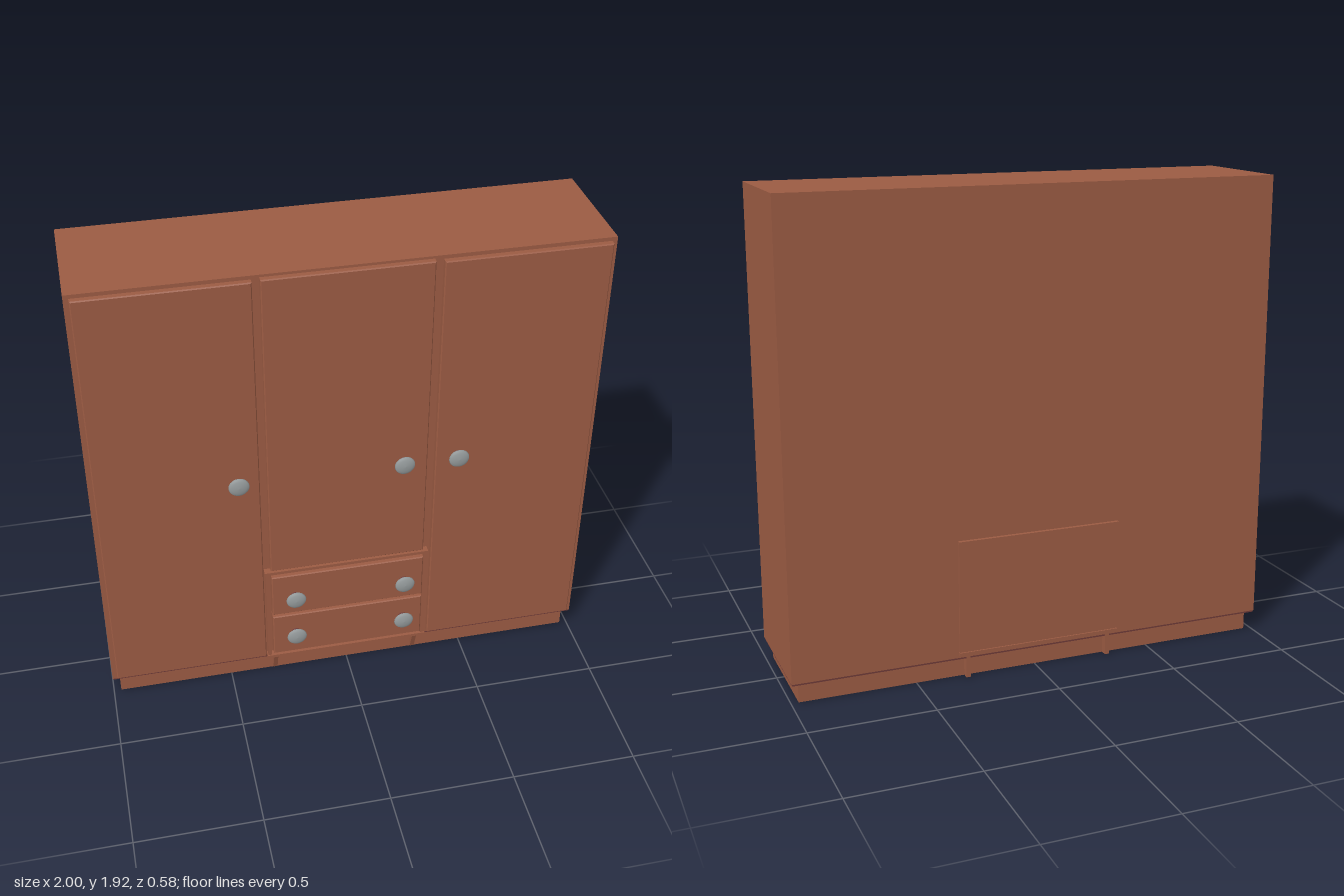
import * as THREE from 'three';

export function createModel() {
  const group = new THREE.Group();
  group.name = 'wardrobe';
  const material = (name, color) => {
    const m = new THREE.MeshStandardMaterial({ color });
    m.name = name;
    return m;
  };
  const wood = material('brown wood', 0x9b5b43);
  const darkWood = material('dark red wood', 0x6e3a38);
  const metal = material('grey metal', 0x979d9e);

  function add(name, geo, mat) {
    const mesh = new THREE.Mesh(geo, mat);
    mesh.name = name;
    group.add(mesh);
    return mesh;
  }

  // Box given by its lower and upper limits on each axis
  function box(name, x0, x1, y0, y1, z0, z1, mat = wood) {
    const mesh = add(name, new THREE.BoxGeometry(x1 - x0, y1 - y0, z1 - z0), mat);
    mesh.position.set((x0 + x1) / 2, (y0 + y1) / 2, (z0 + z1) / 2);
  }

  // Panel with a very narrow bevel round its edges
  function panel(name, x0, x1, y0, y1, z0, z1) {
    const b = 0.004;
    const shape = new THREE.Shape();
    shape.moveTo(x0 + b, y0 + b);
    shape.lineTo(x1 - b, y0 + b);
    shape.lineTo(x1 - b, y1 - b);
    shape.lineTo(x0 + b, y1 - b);
    const geo = new THREE.ExtrudeGeometry(shape, {
      depth: z1 - z0 - 2 * b, bevelEnabled: true, bevelSize: b, bevelThickness: b, bevelSegments: 1,
    });
    geo.translate(0, 0, z0 + b);
    add(name, geo, wood);
  }

  // Carcass with a dark underside
  box('carcass', -1, 1, 0.088, 1.925, -0.272, 0.218);
  box('carcassUnderside', -0.998, 0.998, 0.081, 0.088, -0.27, 0.216, darkWood);

  // Open plinth frame
  box('plinthFront', -0.97, 0.97, 0, 0.081, 0.17, 0.2);
  box('plinthBack', -0.97, 0.97, 0, 0.081, -0.245, -0.215);
  for (const s of [-1, 1]) {
    const a = s * 0.97, c = s * 0.94;
    box('plinthSide', Math.min(a, c), Math.max(a, c), 0, 0.081, -0.215, 0.17);
  }

  // Dividers crossing the plinth, with a sloping front end
  for (const x of [-0.32, 0.283]) {
    const shape = new THREE.Shape();
    shape.moveTo(0.272, 0);
    shape.lineTo(0.272, 0.105);
    shape.lineTo(-0.24, 0.105);
    shape.lineTo(-0.202, 0);
    const geo = new THREE.ExtrudeGeometry(shape, { depth: 0.018, bevelEnabled: false });
    geo.rotateY(Math.PI / 2);
    add('plinthDivider', geo, wood).position.x = x;
  }

  // Doors
  panel('rightDoor', -0.98, -0.352, 0.107, 1.91, 0.21, 0.242);
  panel('middleDoor', -0.322, 0.312, 0.575, 1.915, 0.21, 0.242);
  panel('leftDoor', 0.345, 0.98, 0.107, 1.91, 0.21, 0.242);

  // Drawer unit passing through the carcass
  box('drawerUnitTop', -0.348, 0.332, 0.56, 0.573, -0.287, 0.248);
  box('drawerUnitBottom', -0.348, 0.332, 0.1, 0.113, -0.287, 0.248);
  box('drawerUnitSide', -0.345, -0.33, 0.113, 0.56, -0.27, 0.243);
  box('drawerUnitSide', 0.315, 0.33, 0.113, 0.56, -0.27, 0.243);
  box('drawerUnitBack', -0.345, 0.33, 0.113, 0.56, -0.281, -0.265);
  panel('upperDrawer', -0.322, 0.31, 0.347, 0.55, 0.21, 0.256);
  panel('lowerDrawer', -0.322, 0.31, 0.13, 0.335, 0.21, 0.256);

  // Knobs: a dark stem carrying a wide, domed metal disc
  const lathe = points => new THREE.LatheGeometry(
    points.map(p => new THREE.Vector2(...p)), 20).rotateX(Math.PI / 2);
  const stemGeo = lathe([[0.02, -0.004], [0.017, 0.012], [0.02, 0.026]]);
  const discGeo = lathe([
    [0, 0.025], [0.036, 0.025], [0.041, 0.028], [0.038, 0.032], [0.028, 0.036], [0.014, 0.039], [0, 0.04],
  ]);
  const knobs = [[-0.437, 1.047, 0.242], [0.214, 1.047, 0.242], [0.432, 1.047, 0.242]];
  for (const x of [-0.228, 0.228]) for (const y of [0.44, 0.238]) knobs.push([x, y, 0.256]);
  for (const k of knobs) {
    add('knobStem', stemGeo, darkWood).position.set(...k);
    add('knobDisc', discGeo, metal).position.set(...k);
  }
  return group;
}
